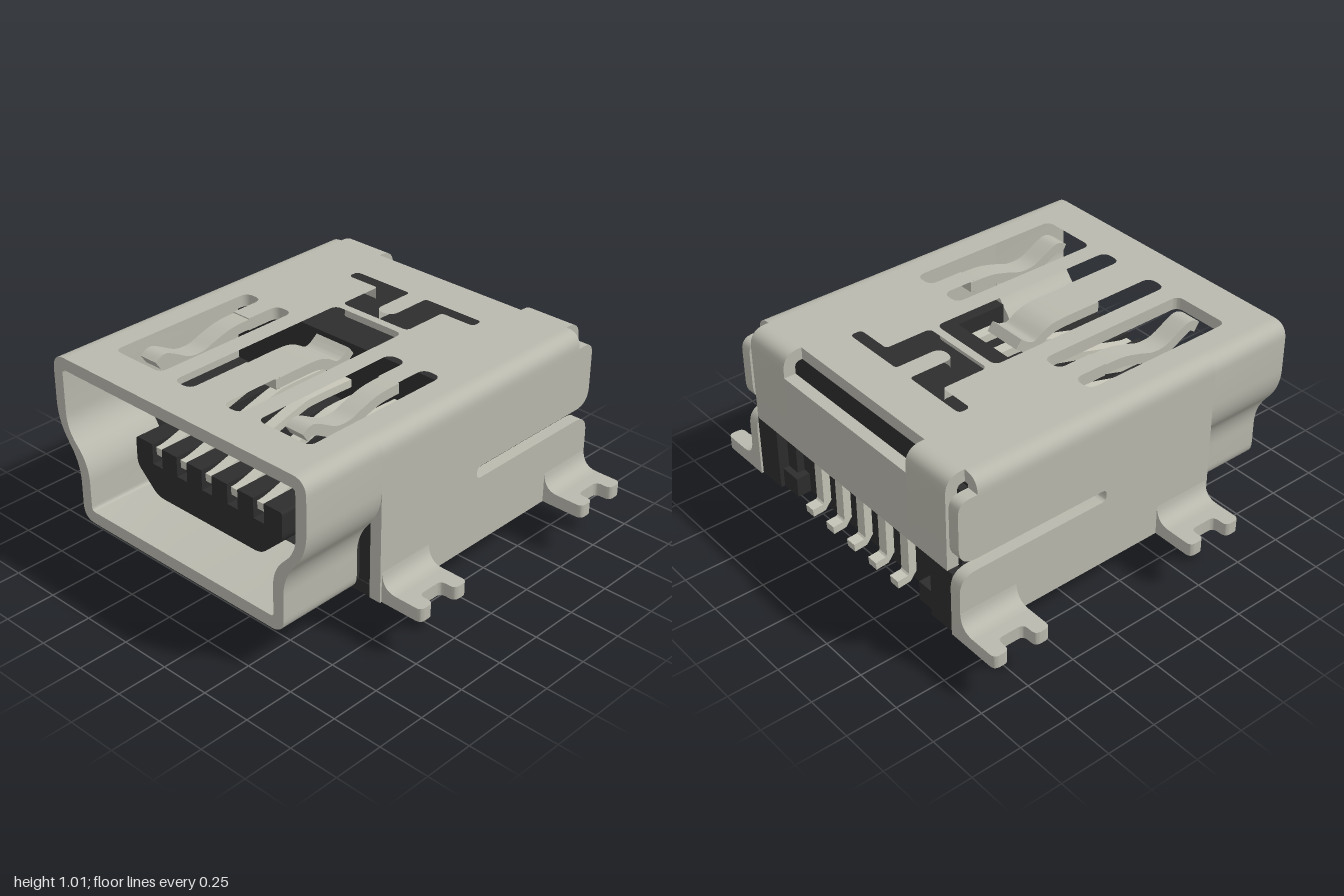
import * as THREE from 'three';
import { toCreasedNormals } from 'three/addons/utils/BufferGeometryUtils.js';

const material = (name, color) => {
  const m = new THREE.MeshStandardMaterial({ color });
  m.name = name;
  return m;
};

// Closed outline from [x, y, cornerRadius] points; s = -1 mirrors it in x.
function outline(points, s = 1, Type = THREE.Shape) {
  const shape = new Type();
  const n = points.length;
  points.forEach(([x, y, r = 0], i) => {
    const p = new THREE.Vector2(x * s, y);
    const toward = ([a, b]) => new THREE.Vector2(a * s, b).sub(p).setLength(r).add(p);
    const start = r ? toward(points[(i + n - 1) % n]) : p;
    if (i === 0) shape.moveTo(start.x, start.y);
    else shape.lineTo(start.x, start.y);
    if (r) {
      const end = toward(points[(i + 1) % n]);
      shape.quadraticCurveTo(p.x, p.y, end.x, end.y);
    }
  });
  shape.closePath();
  return shape;
}

const extrude = (shape, depth) =>
  new THREE.ExtrudeGeometry(shape, { depth, bevelEnabled: false, curveSegments: 8 });

// Outline in x/y, running from z0 to z1
const alongZ = (shape, z0, z1) => extrude(shape, z1 - z0).translate(0, 0, z0);
// Outline in -z/y, running from x0 to x1
const alongX = (shape, x0, x1) => extrude(shape, x1 - x0).rotateY(Math.PI / 2).translate(x0, 0, 0);
// Outline in x/-z, running from y0 to y1
const alongY = (shape, y0, y1) => extrude(shape, y1 - y0).rotateX(-Math.PI / 2).translate(0, y0, 0);
// Converts x/z points to the x/-z frame used by alongY
const flat = (points) => points.map(([x, z, r]) => [x, -z, r]);

// Bent strip of sheet metal following [z, y] points
function strip(path, thickness, x, width, smooth = true) {
  let pts = path.map(([z, y]) => new THREE.Vector2(-z, y));
  if (smooth) pts = new THREE.SplineCurve(pts).getPoints(24);
  const side = (k) => pts.map((p, i) => {
    const a = pts[Math.max(i - 1, 0)], b = pts[Math.min(i + 1, pts.length - 1)];
    const d = b.clone().sub(a).normalize();
    return new THREE.Vector2(p.x - d.y * k, p.y + d.x * k);
  });
  const shape = new THREE.Shape([...side(thickness / 2), ...side(-thickness / 2).reverse()]);
  return alongX(shape, x - width / 2, x + width / 2);
}

export function createModel() {
  const metal = material('shell metal', 0xbab9ae);
  const contactMetal = material('contact metal', 0xc6c5b8);
  const plastic = material('black plastic', 0x2d2d2d);
  const model = new THREE.Group();
  model.name = 'socket';

  const add = (name, geometry, mat) => {
    const mesh = new THREE.Mesh(toCreasedNormals(geometry, 0.6), mat);
    mesh.name = name;
    model.add(mesh);
    return mesh;
  };
  const box = (name, mat, x0, x1, y0, y1, z0, z1) =>
    add(name, new THREE.BoxGeometry(x1 - x0, y1 - y0, z1 - z0)
      .translate((x0 + x1) / 2, (y0 + y1) / 2, (z0 + z1) / 2), mat);
  const bothSides = (fn) => [1, -1].forEach(fn);

  // Top plate with its cut-outs
  const top = outline(flat([[-0.7, -0.83], [0.7, -0.83], [0.7, 0.93], [-0.7, 0.93]]));
  top.holes.push(outline(flat([
    [-0.385, -0.61, 0.025], [-0.05, -0.61, 0.02], [-0.05, -0.37, 0.05], [0.05, -0.37, 0.05],
    [0.05, -0.61, 0.02], [0.385, -0.61, 0.025], [0.385, -0.55, 0.025], [0.2, -0.55, 0.02],
    [0.2, -0.31, 0.03], [-0.2, -0.31, 0.03], [-0.2, -0.55, 0.02], [-0.385, -0.55, 0.025],
  ]), 1, THREE.Path));
  top.holes.push(outline(flat([
    [-0.205, -0.27, 0.04], [0.205, -0.27, 0.04], [0.205, 0.735, 0.045], [0.1, 0.735, 0.045],
    [0.1, 0.4], [-0.1, 0.4], [-0.1, 0.735, 0.045], [-0.205, 0.735, 0.045],
  ]), 1, THREE.Path));
  bothSides((s) => top.holes.push(outline(flat([
    [0.3, -0.08, 0.045], [0.4, -0.08, 0.045], [0.4, 0.1], [0.5, 0.1], [0.5, -0.08, 0.045],
    [0.6, -0.08, 0.045], [0.6, 0.725, 0.04], [0.3, 0.725, 0.04],
  ]), s, THREE.Path)));
  add('topPlate', alongY(top, 0.94, 1), metal);

  // Spring fingers bent out of the top plate
  add('centreSpring', strip([[0.42, 0.97], [0.2, 0.97], [0.12, 0.955], [0.05, 0.918], [0, 0.925], [-0.05, 0.96]],
    0.05, 0, 0.2), metal);
  bothSides((s) => add('sideSpring', strip([[0.08, 0.97], [0.2, 0.965], [0.3, 0.94], [0.38, 0.915], [0.47, 0.92],
    [0.56, 0.965], [0.61, 0.985], [0.65, 0.965]], 0.05, 0.45 * s, 0.1), metal));

  // Mouth: open ring that narrows toward the bottom
  const mouth = [
    [0.7, 1], [0.78, 1, 0.078], [0.78, 0.66, 0.1], [0.645, 0.48, 0.09], [0.645, 0.2, 0.075], [0, 0.2],
    [0, 0.262], [0.585, 0.262, 0.02], [0.585, 0.5, 0.09], [0.72, 0.64, 0.08], [0.72, 0.94, 0.02], [0.7, 0.94],
  ];
  // Roof edge bend behind the mouth
  const bend = [[0.7, 1], [0.78, 1, 0.078], [0.78, 0.9], [0.72, 0.9], [0.72, 0.94, 0.02], [0.7, 0.94]];
  // Side wall with a rear slit, in -z/y
  const wall = [
    [-0.49, 0.2], [0.93, 0.2], [0.93, 0.54, 0.09], [0.13, 0.54, 0.028], [0.13, 0.6, 0.028],
    [0.93, 0.6, 0.09], [0.93, 0.92, 0.06], [0.83, 0.92], [0.83, 0.9], [-0.49, 0.9],
  ];
  // Rear fold of the roof, in -z/y
  const fold = [[0.83, 1], [0.93, 1, 0.085], [0.93, 0.53], [0.87, 0.53], [0.87, 0.94, 0.03], [0.83, 0.94]];

  bothSides((s) => {
    add('mouthHalf', alongZ(outline(mouth, s), 0.49, 0.93), metal);
    add('roofBend', alongZ(outline(bend, s), -0.83, 0.49), metal);
    const x = s > 0 ? 0.72 : -0.78;
    add('sideWall', alongX(outline(wall), x, x + 0.06), metal);
    const f = s > 0 ? 0.44 : -0.7;
    add('rearFold', alongX(outline(fold), f, f + 0.26), metal);

    // Solder feet with notched ends
    [-0.93, 0.18].forEach((z) => {
      const foot = flat([
        [0.76, z], [1, z, 0.03], [1, z + 0.08, 0.03], [0.92, z + 0.08, 0.03], [0.92, z + 0.22, 0.03],
        [1, z + 0.22, 0.03], [1, z + 0.3, 0.03], [0.76, z + 0.3],
      ]);
      add('solderFoot', alongY(outline(foot, s), 0.2, 0.265), metal);
      const fillet = new THREE.Shape();
      fillet.moveTo(0.77 * s, 0.35);
      fillet.lineTo(0.78 * s, 0.35);
      fillet.quadraticCurveTo(0.785 * s, 0.265, 0.86 * s, 0.265);
      fillet.lineTo(0.77 * s, 0.23);
      fillet.closePath();
      add('footFillet', alongZ(fillet, z, z + 0.3), metal);
    });

    // Plastic beside the mouth, rear corners and locating pegs
    const pair = (name, x0, x1, ...rest) =>
      box(name, plastic, Math.min(x0 * s, x1 * s), Math.max(x0 * s, x1 * s), ...rest);
    pair('housingCheek', 0.65, 0.719, 0.2, 0.6, -0.13, 0.48);
    pair('rearCorner', 0.5, 0.719, 0.2, 0.925, -0.868, -0.82);
    pair('rearLeg', 0.57, 0.719, 0.2, 0.52, -0.92, -0.86);
    pair('rearStep', 0.46, 0.58, 0.2, 0.3, -0.9, -0.82);
    const peg = [[0, 0], [0.065, 0], [0.078, 0.015], [0.08, 0.21]].map(([r, y]) => new THREE.Vector2(r, y));
    add('locatingPeg', new THREE.LatheGeometry(peg, 28).translate(0.44 * s, 0, -0.24), plastic);
  });
  box('rearPlate', metal, -0.44, 0.44, 0.53, 0.88, -0.93, -0.87);

  // Plastic housing
  box('housingBlock', plastic, -0.719, 0.719, 0.2, 0.938, -0.83, -0.13);
  box('housingFloor', plastic, -0.719, 0.719, 0.2, 0.26, -0.13, 0.485);
  box('undersidePlate', plastic, -0.58, 0.58, 0.196, 0.2, 0.48, 0.928);

  // Tongue with five grooves in its top
  const lanes = [-0.32, -0.16, 0, 0.16, 0.32];
  const tongue = [[-0.46, 0.63, 0.015], [-0.46, 0.49, 0.03], [-0.33, 0.37, 0.04],
    [0.33, 0.37, 0.04], [0.46, 0.49, 0.03], [0.46, 0.63, 0.015]];
  [...lanes].reverse().forEach((x) =>
    tongue.push([x + 0.032, 0.63], [x + 0.032, 0.53], [x - 0.032, 0.53], [x - 0.032, 0.63]));
  add('tongue', alongZ(outline(tongue), -0.14, 0.75), plastic);

  // Contacts in the grooves and their solder pins at the rear
  lanes.forEach((x) => {
    add('contact', strip([[-0.14, 0.735], [0.1, 0.742], [0.2, 0.73], [0.42, 0.67], [0.66, 0.6], [0.73, 0.59]],
      0.04, x, 0.056), contactMetal);
    add('solderPin', strip([[-0.85, 0.8], [-0.85, 0.25], [-0.87, 0.225], [-0.93, 0.22]],
      0.04, x, 0.056, false), contactMetal);
  });

  return model;
}
